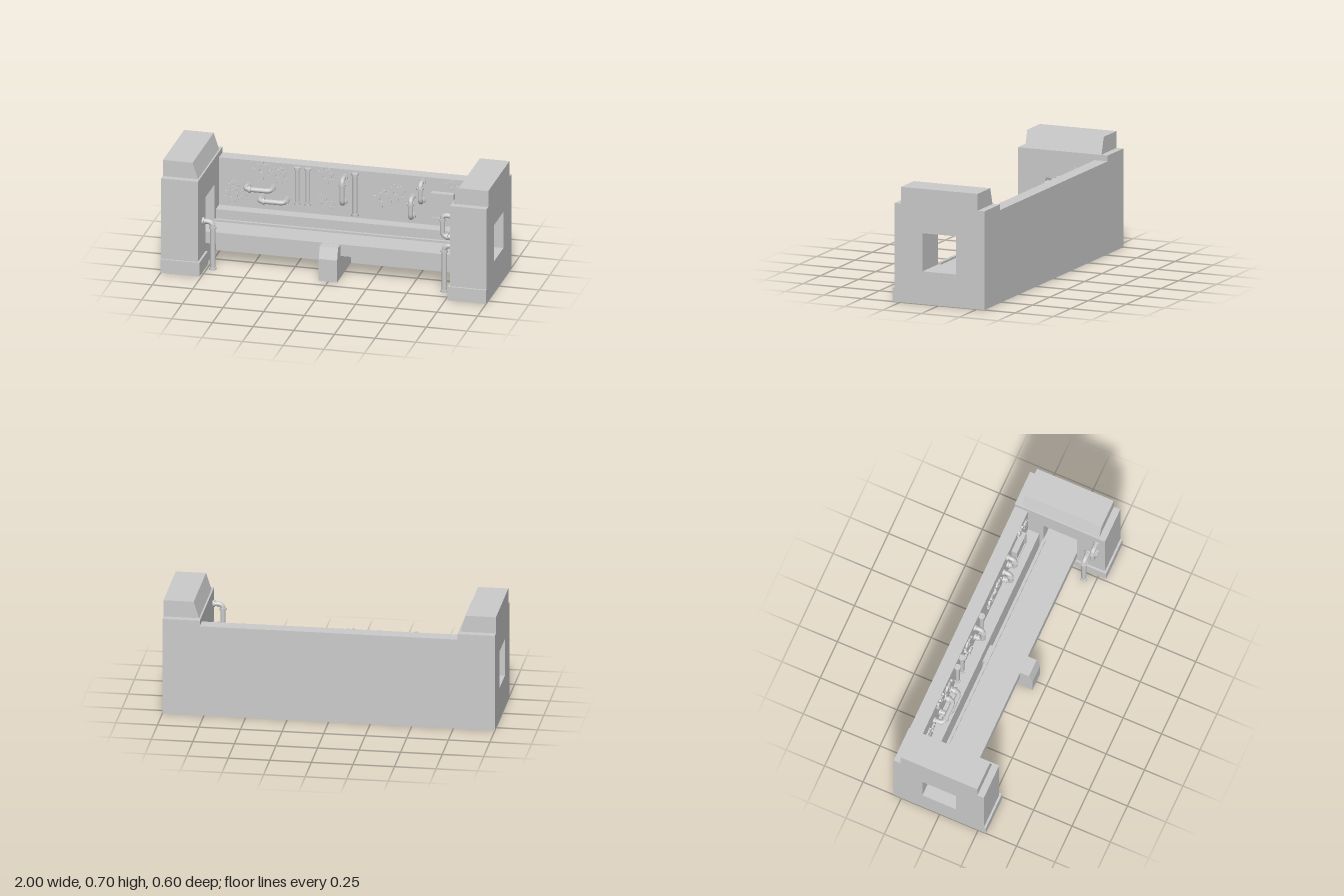
import * as THREE from 'three';

const V = (x, y, z) => new THREE.Vector3(x, y, z);
const mat = new THREE.MeshStandardMaterial({ color: 0xcccccc, side: THREE.DoubleSide });
const flatMat = new THREE.MeshStandardMaterial({ color: 0xcccccc, side: THREE.DoubleSide, flatShading: true });

function add(parent, name, geometry, material = flatMat) {
  const mesh = new THREE.Mesh(geometry, material);
  mesh.name = name;
  parent.add(mesh);
  return mesh;
}

// Side profile given as [z, y] points, extruded along x from x0 to x1
function sideExtrude(points, x0, x1, hole) {
  const toV2 = ([z, y]) => new THREE.Vector2(-z, y);
  const shape = new THREE.Shape(points.map(toV2));
  if (hole) shape.holes.push(new THREE.Path(hole.map(toV2)));
  const geo = new THREE.ExtrudeGeometry(shape, { depth: x1 - x0, bevelEnabled: false });
  return geo.rotateY(Math.PI / 2).translate(x0, 0, 0);
}

// Removes the faces resting on the ground, leaving a hollow shell
function openBottom(geometry) {
  const geo = geometry.index ? geometry.toNonIndexed() : geometry;
  const p = geo.attributes.position;
  const kept = [];
  for (let i = 0; i < p.count; i += 3) {
    if ([0, 1, 2].every((k) => Math.abs(p.getY(i + k)) < 1e-5)) continue;
    for (let k = 0; k < 3; k++) kept.push(p.getX(i + k), p.getY(i + k), p.getZ(i + k));
  }
  const out = new THREE.BufferGeometry();
  out.setAttribute('position', new THREE.Float32BufferAttribute(kept, 3));
  out.computeVertexNormals();
  return out;
}

function box(x0, x1, y0, y1, z0, z1) {
  return new THREE.BoxGeometry(x1 - x0, y1 - y0, z1 - z0)
    .translate((x0 + x1) / 2, (y0 + y1) / 2, (z0 + z1) / 2);
}

// Pipe along a path with rounded corners, with collars at the ends and beside each bend
function pipe(parent, name, points, r = 0.014, bend = 0.035) {
  const group = new THREE.Group();
  group.name = name;
  const path = new THREE.CurvePath();
  const collar = (at, dir) => {
    const c = add(group, 'pipeCollar', new THREE.CylinderGeometry(r * 1.4, r * 1.4, 0.012, 14), mat);
    c.position.copy(at);
    c.quaternion.setFromUnitVectors(V(0, 1, 0), dir);
  };
  let from = points[0];
  for (let i = 1; i < points.length; i++) {
    const corner = points[i];
    const dir = corner.clone().sub(points[i - 1]).normalize();
    if (i === 1) collar(from.clone().addScaledVector(dir, 0.006), dir);
    if (i === points.length - 1) {
      path.add(new THREE.LineCurve3(from, corner));
      collar(corner.clone().addScaledVector(dir, -0.006), dir);
    } else {
      const next = points[i + 1].clone().sub(corner).normalize();
      const a = corner.clone().addScaledVector(dir, -bend);
      const b = corner.clone().addScaledVector(next, bend);
      path.add(new THREE.LineCurve3(from, a));
      path.add(new THREE.QuadraticBezierCurve3(a, corner, b));
      collar(b, next);
      from = b;
    }
  }
  add(group, 'pipeTube', new THREE.TubeGeometry(path, points.length > 2 ? 40 : 1, r, 12), mat);
  parent.add(group);
}

// Pipe that leaves a wall, runs from a to b and returns to the wall
function loopPipe(parent, a, b, out) {
  pipe(parent, 'loopPipe', [a, a.clone().add(out), b.clone().add(out), b], 0.015, 0.03);
}

function gearGeometry(r, teeth = 8) {
  const shape = new THREE.Shape();
  const step = (Math.PI * 2) / teeth;
  for (let i = 0; i < teeth; i++) {
    [[-0.28, 0.74], [-0.2, 1], [0.2, 1], [0.28, 0.74]].forEach(([t, k], j) => {
      const a = (i + t) * step;
      const x = Math.cos(a) * r * k, y = Math.sin(a) * r * k;
      if (i + j === 0) shape.moveTo(x, y); else shape.lineTo(x, y);
    });
  }
  shape.closePath();
  const hole = new THREE.Path();
  hole.absarc(0, 0, r * 0.25, 0, Math.PI * 2, true);
  shape.holes.push(hole);
  return new THREE.ExtrudeGeometry(shape, { depth: 0.012, bevelEnabled: false, curveSegments: 6 });
}

export function createModel() {
  const model = new THREE.Group();
  model.name = 'trenchBarrier';

  // End towers with a square tunnel, a front plinth and a sloped cap
  const body = [[-0.3, 0], [-0.3, 0.6], [0.287, 0.6], [0.287, 0]];
  const tunnel = [[-0.113, 0.2], [0.105, 0.2], [0.105, 0.432], [-0.113, 0.432]];
  for (const [side, label] of [[1, 'left'], [-1, 'right']]) {
    const [x0, x1] = side > 0 ? [0.775, 1] : [-1, -0.775];
    add(model, label + 'Tower', openBottom(sideExtrude(body, x0, x1, tunnel)));
    const plinth = side > 0 ? [0.762, 1] : [-1, -0.762];
    add(model, label + 'Plinth', openBottom(box(...plinth, 0, 0.087, 0.1, 0.3)));

    const cap = new THREE.Shape([[0.785, 0.6], [1, 0.6], [1, 0.702], [0.818, 0.702]]
      .map(([x, y]) => new THREE.Vector2(x * side, y)));
    add(model, label + 'Cap', new THREE.ExtrudeGeometry(cap, { depth: 0.5, bevelEnabled: false })
      .translate(0, 0, -0.255));
  }

  // Back wall with a ledge along its foot
  add(model, 'backWall', openBottom(sideExtrude(
    [[-0.3, 0], [-0.3, 0.565], [-0.215, 0.565], [-0.215, 0.262], [-0.14, 0.262], [-0.14, 0]],
    -0.775, 0.775)));

  // Bridge beam with a raised lip on each edge
  add(model, 'bridge', sideExtrude(
    [[-0.115, 0.139], [-0.115, 0.213], [-0.097, 0.213], [-0.097, 0.2],
      [0.085, 0.2], [0.085, 0.213], [0.105, 0.213], [0.105, 0.139]], -0.775, 0.775));

  // Central support with a sloped front
  add(model, 'centreSupport', openBottom(sideExtrude(
    [[-0.14, 0], [-0.14, 0.139], [0.1, 0.139], [0.1, 0.212], [0.162, 0.212], [0.185, 0.139], [0.185, 0]],
    -0.058, 0.055)));

  // Gears on the wall: x, y, radius
  const wallZ = -0.215;
  [[-0.51, 0.51, 0.058], [-0.41, 0.487, 0.055], [-0.685, 0.4, 0.031], [-0.695, 0.335, 0.05],
    [-0.63, 0.342, 0.028], [-0.12, 0.513, 0.055], [-0.145, 0.363, 0.03], [-0.09, 0.332, 0.028],
    [0.23, 0.4, 0.058], [0.315, 0.45, 0.053], [0.655, 0.528, 0.037], [0.715, 0.505, 0.03],
  ].forEach(([x, y, r], i) => {
    const gear = add(model, 'gear', gearGeometry(r));
    gear.position.set(x, y, wallZ + (i % 2) * 0.004);
    gear.rotation.z = i * 0.37;
  });

  // Upright pipes on the wall: x, bottom, top
  for (const [x, y0, y1] of [[-0.29, 0.32, 0.555], [-0.225, 0.32, 0.555], [0.065, 0.28, 0.55]])
    pipe(model, 'uprightPipe', [V(x, y0, -0.2), V(x, y1, -0.2)]);

  // Looped pipes on the wall: x0, y0, x1, y1, reach
  for (const [x0, y0, x1, y1, d] of [
    [-0.6, 0.403, -0.445, 0.403, 0.06], [-0.515, 0.335, -0.36, 0.335, 0.06],
    [-0.005, 0.515, -0.005, 0.36, 0.055], [0.415, 0.43, 0.415, 0.31, 0.05],
    [0.475, 0.535, 0.475, 0.415, 0.05],
  ]) loopPipe(model, V(x0, y0, wallZ), V(x1, y1, wallZ), V(0, 0, d));

  // Wall panel with a raised frame
  add(model, 'wallPanel', box(0.545, 0.665, 0.325, 0.47, wallZ, -0.187));
  for (const x of [0.535, 0.665]) add(model, 'panelFrame', box(x, x + 0.01, 0.315, 0.48, wallZ, -0.18));
  for (const y of [0.315, 0.47]) add(model, 'panelFrame', box(0.545, 0.665, y, y + 0.01, wallZ, -0.18));

  // Pipes on the inner faces of the towers
  for (const [side, y, z] of [[1, 0.3, 0.178], [-1, 0.308, 0.175]])
    pipe(model, 'drainPipe', [V(0.775 * side, y, z), V(0.712 * side, y, z), V(0.712 * side, 0.005, z)], 0.016);
  loopPipe(model, V(0.775, 0.515, 0.232), V(0.775, 0.38, 0.232), V(-0.06, 0, 0));

  return model;
}
